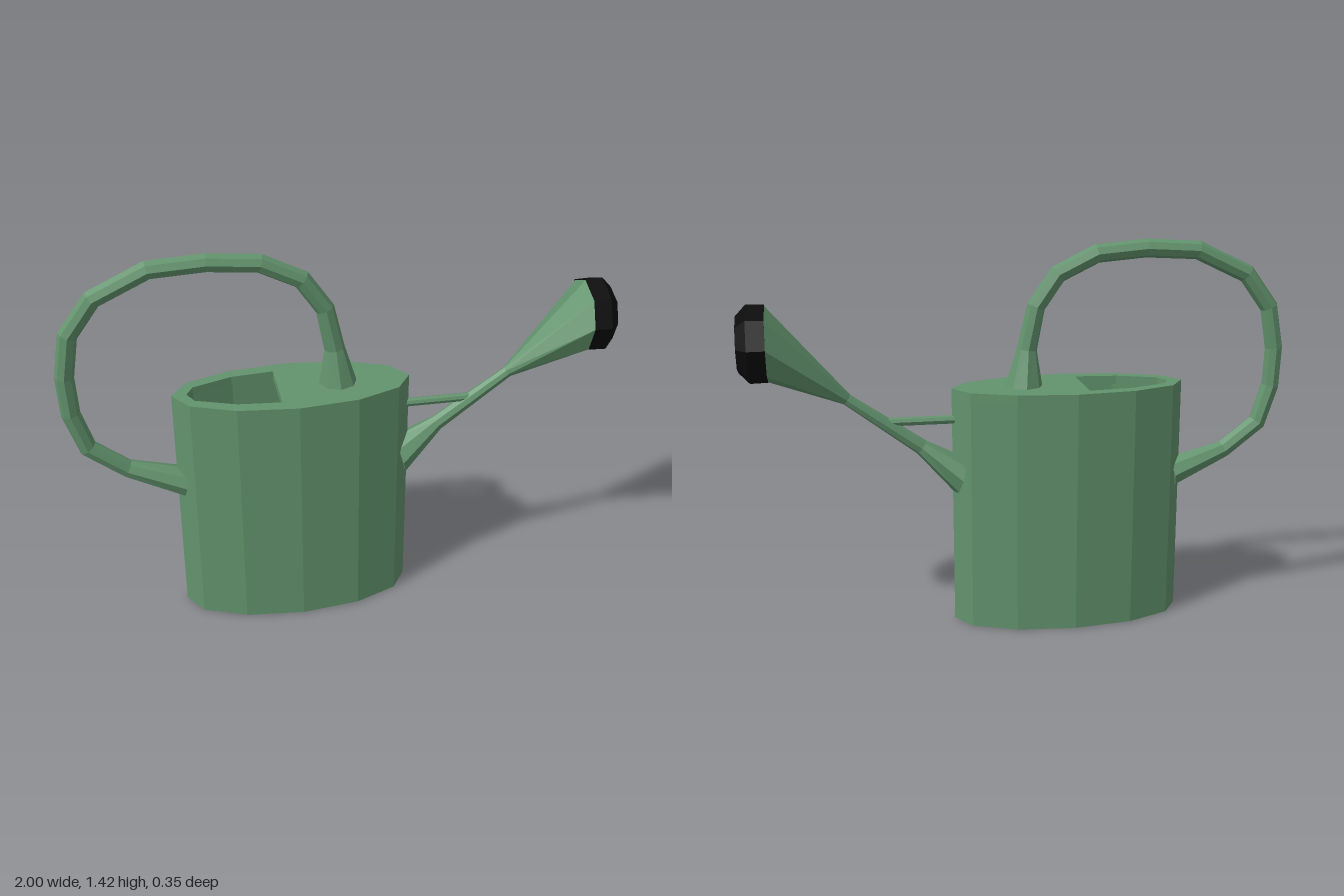
import * as THREE from 'three';

const green = new THREE.MeshStandardMaterial({ color: 0x62936d, flatShading: true });
green.name = 'garden green';
const black = new THREE.MeshStandardMaterial({ color: 0x0a0a0a, flatShading: true });
black.name = 'rose black';

const CENTER = -0.177, HEIGHT = 0.895;

// Octagonal tube along a path in the xy plane; each ring is [x, y, radius, zRadius?, angle?]
function loft(rings, sides = 8) {
  const loops = rings.map(([x, y, r, rz = r, angle], i) => {
    const p = rings[Math.max(i - 1, 0)], q = rings[Math.min(i + 1, rings.length - 1)];
    const a = angle ?? Math.atan2(q[1] - p[1], q[0] - p[0]);
    return Array.from({ length: sides }, (_, j) => {
      const t = (j / sides) * Math.PI * 2, c = r * Math.cos(t);
      return [x - Math.sin(a) * c, y + Math.cos(a) * c, rz * Math.sin(t)];
    });
  });
  const pos = [];
  const tri = (...pts) => pts.forEach((p) => pos.push(...p));
  const first = loops[0], last = loops[loops.length - 1];
  for (let j = 0; j < sides; j++) {
    const k = (j + 1) % sides;
    for (let i = 0; i + 1 < loops.length; i++) {
      const [a, b] = [loops[i], loops[i + 1]];
      tri(a[j], a[k], b[k]);
      tri(a[j], b[k], b[j]);
    }
    if (j > 0 && j < sides - 1) {
      tri(last[0], last[j], last[k]);
      tri(first[0], first[k], first[j]);
    }
  }
  const g = new THREE.BufferGeometry();
  g.setAttribute('position', new THREE.Float32BufferAttribute(pos, 3));
  g.computeVertexNormals();
  return g;
}

// Twelve-sided oval outline
function oval(rx, rz) {
  return Array.from({ length: 12 }, (_, i) => {
    const t = (i / 12) * Math.PI * 2;
    return new THREE.Vector2(CENTER + rx * Math.cos(t), rz * Math.sin(t));
  });
}

// Upright slab from y0 to y1 with an optional hole
function slab(outline, hole, y0, y1) {
  const shape = new THREE.Shape(outline);
  if (hole) shape.holes.push(new THREE.Path(hole));
  return new THREE.ExtrudeGeometry(shape, { depth: y1 - y0, bevelEnabled: false })
    .rotateX(-Math.PI / 2).translate(0, y0, 0);
}

export function createModel() {
  const group = new THREE.Group();
  const add = (name, geometry, material = green) => {
    const mesh = new THREE.Mesh(geometry, material);
    mesh.name = name;
    group.add(mesh);
    return mesh;
  };

  // Hollow oval tank with a filling hole in the lid
  const outer = oval(0.432, 0.176);
  const opening = [[-0.23, 0.12], [-0.385, 0.105], [-0.53, 0.05], [-0.555, 0],
    [-0.53, -0.05], [-0.385, -0.105], [-0.23, -0.12]].map((p) => new THREE.Vector2(...p));
  add('tankFloor', slab(outer, null, 0, 0.03));
  add('tankWall', slab(outer, oval(0.405, 0.15), 0.03, HEIGHT - 0.03));
  add('tankLid', slab(outer, opening, HEIGHT - 0.03, HEIGHT));

  // Looped handle from the lid round to the back of the tank
  const r = 0.034;
  add('handle', loft([
    [-0.01, 0.89, 0.07, 0.07, Math.PI / 2], [-0.022, 1.03, 0.037], [-0.055, 1.185, r],
    [-0.135, 1.3, r], [-0.278, 1.37, r], [-0.46, 1.386, r], [-0.655, 1.375, r],
    [-0.845, 1.285, r], [-0.938, 1.16, r], [-0.966, 1.005, r], [-0.96, 0.86, r],
    [-0.915, 0.718, r], [-0.785, 0.617, r], [-0.58, 0.538, 0.055, 0.062, -0.2],
  ]));

  // Spout narrowing to a neck, then flaring to the rose
  add('spout', loft([
    [0.225, 0.565, 0.07, 0.08, 0.3], [0.368, 0.682, 0.029, 0.029], [0.63, 0.87, 0.021, 0.021],
    [0.902, 1.08, 0.136, 0.136, 0],
  ]));

  // Sprinkler rose
  add('rose', loft([
    [0.9, 1.08, 0.138, 0.138, 0], [0.963, 1.08, 0.14, 0.14, 0], [1, 1.08, 0.1, 0.1, 0],
  ]), black);

  // Strut between the tank and spout
  add('spoutBrace', loft([[0.23, 0.78, 0.016], [0.5, 0.78, 0.016]]));

  return group;
}
